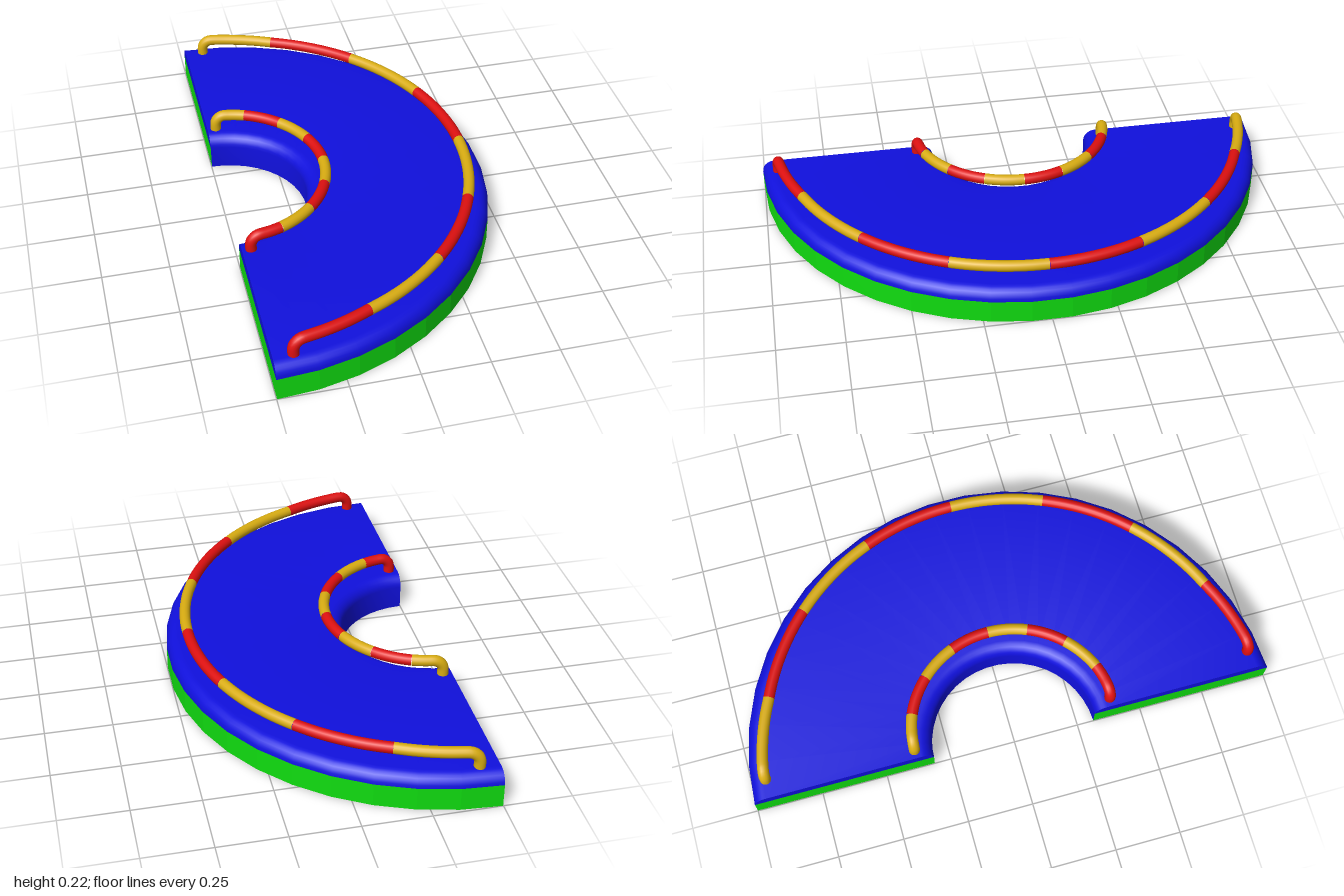
import * as THREE from 'three';
import { toCreasedNormals } from 'three/addons/utils/BufferGeometryUtils.js';

const INNER = 0.314, OUTER = 1, TOP = 0.137, BAND = 0.09, FILLET = TOP - BAND;
const SEGMENTS = 21, CENTRE_X = -0.4986;

export function createModel() {
  const blue = new THREE.MeshStandardMaterial({ color: 0x1010dd });
  const green = new THREE.MeshStandardMaterial({ color: 0x10dd10 });
  const red = new THREE.MeshStandardMaterial({ color: 0xdd1010 });
  const yellow = new THREE.MeshStandardMaterial({ color: 0xd9ad12 });
  blue.name = 'blue';
  green.name = 'green';
  red.name = 'red';
  yellow.name = 'yellow';

  const model = new THREE.Group();
  model.name = 'halfRingPlatform';
  const ring = new THREE.Group();
  ring.position.x = CENTRE_X;
  model.add(ring);

  const add = (name, geometry, material) => {
    const mesh = new THREE.Mesh(geometry, material);
    mesh.name = name;
    ring.add(mesh);
  };
  const v2 = (x, y) => new THREE.Vector2(x, y);
  // Half turn of a profile, with creases sharper than the given angle
  const halfLathe = (profile, crease) =>
    toCreasedNormals(new THREE.LatheGeometry(profile, SEGMENTS, 0, Math.PI), crease);

  // Rounded upper section: outer fillet, flat top, inner fillet
  const upper = [];
  for (let i = 0; i <= 6; i++) {
    const a = (i / 6) * Math.PI / 2;
    upper.push(v2(OUTER - FILLET + FILLET * Math.cos(a), BAND + FILLET * Math.sin(a)));
  }
  for (let i = 6; i >= 0; i--) {
    const a = (i / 6) * Math.PI / 2;
    upper.push(v2(INNER + FILLET - FILLET * Math.cos(a), BAND + FILLET * Math.sin(a)));
  }
  add('upperDeckAndInnerWall', halfLathe([...upper, v2(INNER, 0)], 0.5), blue);

  // Faceted outer band and the underside
  add('outerBand', halfLathe([v2(OUTER, 0), v2(OUTER, BAND)], 0.05), green);
  add('underside', halfLathe([v2(INNER, 0), v2(OUTER, 0)], 0.05), green);

  // Flat cut ends on both sides of the half ring
  const lower = [v2(INNER, 0), v2(OUTER, 0), v2(OUTER, BAND), v2(INNER, BAND)];
  for (const side of [1, -1]) {
    const cut = (points) => {
      const shape = new THREE.Shape(points.map((p) => v2(p.x * side, p.y)));
      return new THREE.ShapeGeometry(shape).rotateY(-Math.PI / 2);
    };
    add('upperCutEnd', cut(upper), blue);
    add('lowerCutEnd', cut(lower), green);
  }

  // Striped handrail: eight pieces, the end pieces bending down into posts
  const RAIL_Y = 0.197, TUBE = 0.021, BEND = 0.04, PIECE = Math.PI / 8;
  const addRail = (name, radius, endRadius, endAngle) => {
    const point = (angle, y) => {
      const fromEnd = Math.min(angle, Math.PI - angle);
      const k = Math.max(0, (PIECE - fromEnd) / (PIECE - endAngle));
      const r = THREE.MathUtils.lerp(radius, endRadius, k);
      return new THREE.Vector3(r * Math.sin(angle), y, r * Math.cos(angle));
    };
    for (let i = 0; i < 8; i++) {
      const isEnd = i === 0 || i === 7;
      const points = [];
      if (isEnd) {
        const at = (a) => (i === 0 ? a : Math.PI - a);
        points.push(point(at(endAngle), 0.12), point(at(endAngle), 0.14));
        for (let j = 0; j <= 6; j++) {
          const a = (j / 6) * Math.PI / 2;
          points.push(point(at(endAngle + BEND * (1 - Math.cos(a)) / radius),
            RAIL_Y - BEND + BEND * Math.sin(a)));
        }
        const start = endAngle + BEND / radius;
        for (let j = 1; j <= 4; j++) {
          points.push(point(at(THREE.MathUtils.lerp(start, PIECE, j / 4)), RAIL_Y));
        }
      } else {
        for (let j = 0; j <= 6; j++) points.push(point((i + j / 6) * PIECE, RAIL_Y));
      }
      const curve = new THREE.CatmullRomCurve3(points);
      add(name, new THREE.TubeGeometry(curve, isEnd ? 40 : 12, TUBE, 16), i % 2 ? yellow : red);
    }
  };
  addRail('outerRail', 0.923, 0.94, 0.077);
  addRail('innerRail', 0.386, 0.381, 0.089);

  return model;
}
